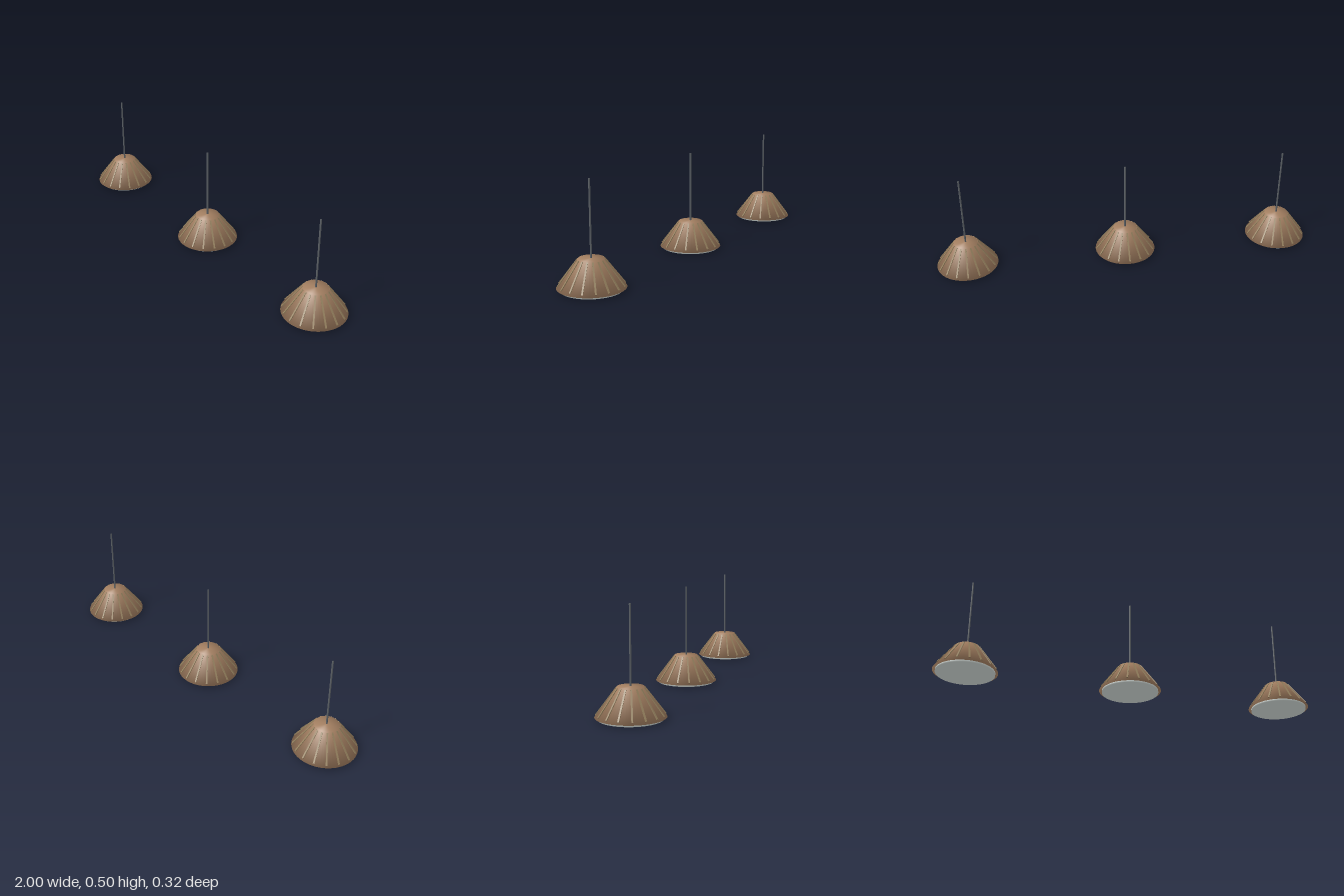
import * as THREE from 'three';

const BRONZE = new THREE.MeshStandardMaterial({ color: 0xa37f61 });
const RIB = new THREE.MeshStandardMaterial({ color: 0x94805e });
const WHITE = new THREE.MeshStandardMaterial({ color: 0xdfe8e4 });
const CORD = new THREE.MeshStandardMaterial({ color: 0x5c6166 });

const SPACING = 0.84;
const RIBS = 16;

function part(name, geometry, material) {
  const mesh = new THREE.Mesh(geometry, material);
  mesh.name = name;
  return mesh;
}

// Smoothly shaded turned solid, profile given from bottom to top
function turned(name, points, segments, material) {
  const profile = points.map(([r, y]) => new THREE.Vector2(r, y));
  return part(name, new THREE.LatheGeometry(profile, segments), material);
}

function createLamp() {
  const lamp = new THREE.Group();
  lamp.name = 'pendantLamp';

  // Closed conical shade with soft shading over its rims
  lamp.add(turned('shade', [
    [0, 0.01], [0.159, 0.01], [0.059, 0.145], [0, 0.146],
  ], 64, BRONZE));

  // Flat light panel closing the bottom
  lamp.add(turned('diffuser', [[0, 0], [0.145, 0], [0.145, 0.011]], 64, WHITE));

  // Raised ribs running down the slope
  const top = new THREE.Vector2(0.062, 0.14);
  const bottom = new THREE.Vector2(0.153, 0.02);
  const slope = bottom.clone().sub(top);
  for (let i = 0; i < RIBS; i++) {
    const spoke = new THREE.Group();
    spoke.name = 'ribSpoke';
    spoke.rotation.y = (i / RIBS) * Math.PI * 2;
    const rib = part('rib', new THREE.BoxGeometry(slope.length(), 0.006, 0.008), RIB);
    rib.position.set((top.x + bottom.x) / 2, (top.y + bottom.y) / 2, 0);
    rib.rotation.z = Math.atan2(slope.y, slope.x);
    spoke.add(rib);
    lamp.add(spoke);
  }

  // Hanging cord
  lamp.add(turned('cord', [[0.0045, 0.14], [0.0045, 0.505], [0, 0.505]], 16, CORD));
  return lamp;
}

export function createModel() {
  const model = new THREE.Group();
  model.name = 'pendantLamps';
  for (const i of [-1, 0, 1]) {
    const lamp = createLamp();
    lamp.position.x = i * SPACING;
    model.add(lamp);
  }
  return model;
}
